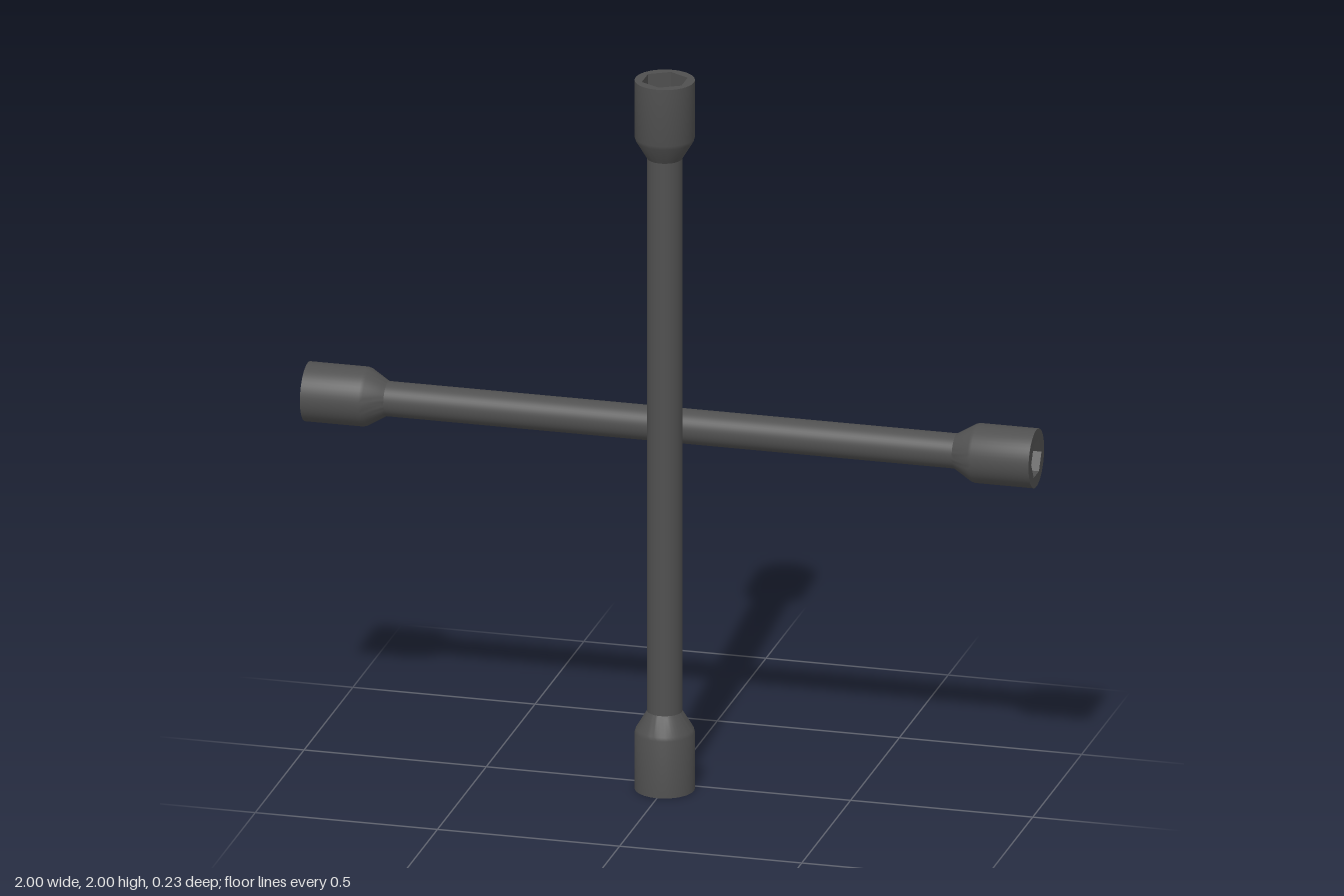
import * as THREE from 'three';
import { toCreasedNormals } from 'three/addons/utils/BufferGeometryUtils.js';

const SIDES = 48, SHAFT_R = 0.047, SOCKET_R = 0.08, DEPTH = 0.12;

// Regular polygon outline with a corner on the second axis
function polygon(radius, n) {
  return Array.from({ length: n }, (_, i) => {
    const a = (i / n) * Math.PI * 2;
    return new THREE.Vector2(Math.sin(a) * radius, Math.cos(a) * radius);
  });
}

export function createModel() {
  const steel = new THREE.MeshStandardMaterial({ color: 0x505050 });
  steel.name = 'dark steel';

  function add(parent, name, geometry) {
    const mesh = new THREE.Mesh(geometry, steel);
    mesh.name = name;
    parent.add(mesh);
    return mesh;
  }

  // Open socket end at y = 1, with a six-sided recess
  function socket(name, hexRadius) {
    const group = new THREE.Group();
    group.name = name;

    const profile = [[SHAFT_R, 0.78], [0.051, 0.787], [0.077, 0.83], [SOCKET_R, 0.84], [SOCKET_R, 1]];
    const body = new THREE.LatheGeometry(profile.map(p => new THREE.Vector2(...p)), SIDES);
    add(group, 'socketBody', toCreasedNormals(body, 0.6));

    const ring = new THREE.Shape(polygon(SOCKET_R, SIDES));
    ring.holes.push(new THREE.Path(polygon(hexRadius, 6)));
    add(group, 'socketRim', new THREE.ShapeGeometry(ring).rotateX(-Math.PI / 2)).position.y = 1;

    // Mirrored so the recess walls face inwards
    const tube = new THREE.CylinderGeometry(hexRadius, hexRadius, DEPTH, 6, 1, true);
    const walls = tube.toNonIndexed();
    const p = walls.attributes.position;
    for (let i = 0; i < p.count; i++) p.setX(i, -p.getX(i));
    walls.computeVertexNormals();
    add(group, 'recessWalls', walls).position.y = 1 - DEPTH / 2;

    const floor = new THREE.ShapeGeometry(new THREE.Shape(polygon(hexRadius, 6)));
    add(group, 'recessFloor', floor.rotateX(-Math.PI / 2)).position.y = 1 - DEPTH;
    return group;
  }

  // Upright bar with a socket at each end
  function bar(name, topHex, bottomHex) {
    const group = new THREE.Group();
    group.name = name;
    add(group, 'shaft', new THREE.CylinderGeometry(SHAFT_R, SHAFT_R, 1.6, SIDES, 1, true));
    const bottom = socket('secondSocket', bottomHex);
    bottom.rotation.x = Math.PI;
    group.add(socket('firstSocket', topHex), bottom);
    return group;
  }

  const model = new THREE.Group();
  model.name = 'crossWrench';

  const vertical = bar('verticalBar', 0.063, 0.048);
  vertical.position.set(0, 1, 0.037);

  const horizontal = bar('horizontalBar', 0.053, 0.058);
  horizontal.rotation.z = -Math.PI / 2;
  horizontal.position.set(0, 1, -0.037);

  model.add(vertical, horizontal);
  return model;
}
